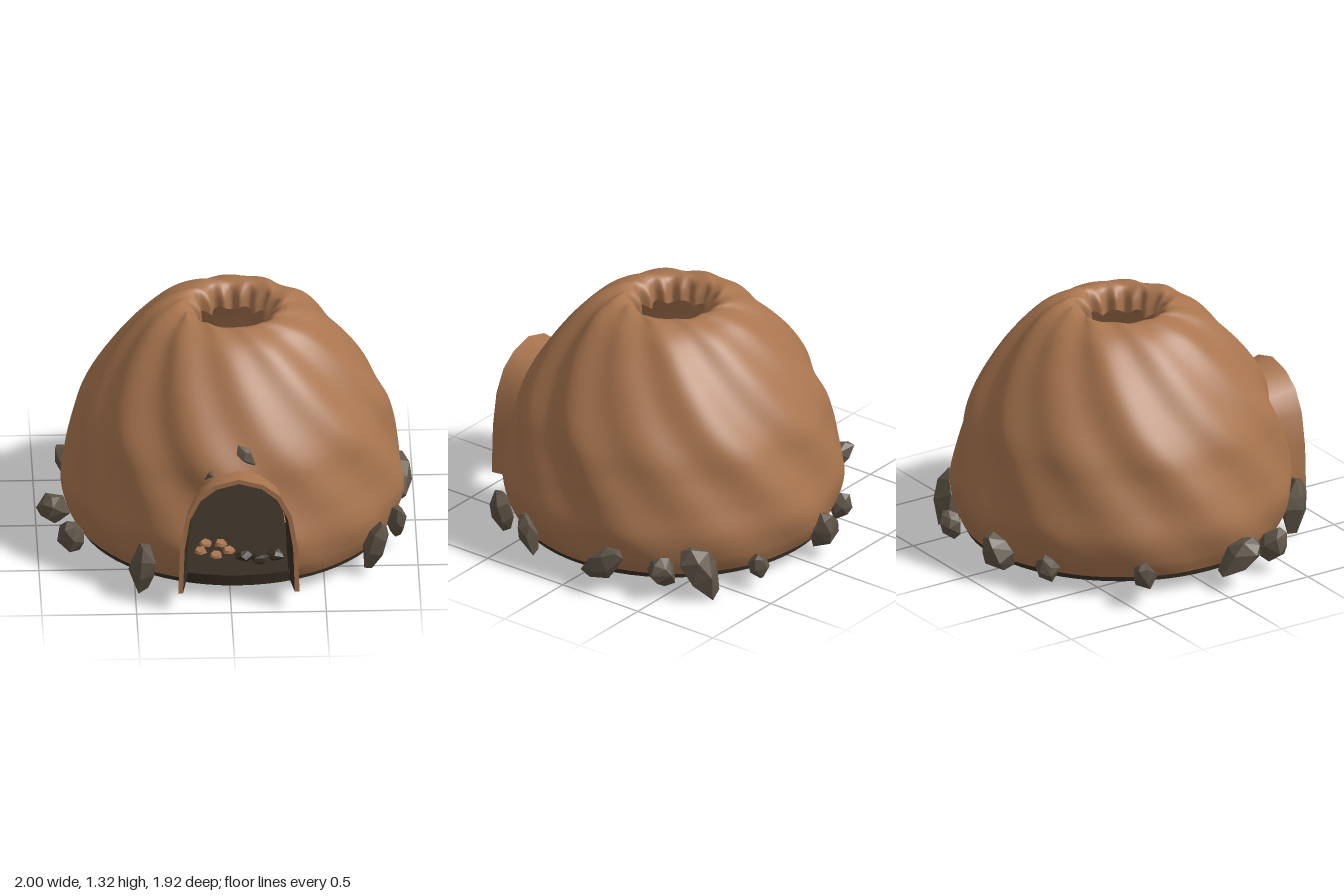
import * as THREE from 'three';
import { ConvexGeometry } from 'three/addons/geometries/ConvexGeometry.js';

const CX = 0.04, CZ = 0.01;

const mat = (name, color, extra = {}) => {
  const m = new THREE.MeshStandardMaterial({ color, ...extra });
  m.name = name;
  return m;
};

function seeded(seed) {
  let s = seed * 7919 + 17;
  return () => ((s = (s * 16807) % 2147483647) / 2147483647);
}

// Half outline of the doorway arch: [half width, height]
const ARCH = [[0.32, 0.11], [0.31, 0.38], [0.28, 0.56], [0.22, 0.68], [0.13, 0.75], [0, 0.785]];

// Full arch ring at depth z, drawn in by inset
function archRing(z, inset) {
  const half = ARCH.map(([w, y]) => [w * (1 - inset / 0.32), y - inset * Math.max(0, (y - 0.11) / 0.675)]);
  const left = half.map(([w, y]) => new THREE.Vector3(CX - w, y, z));
  const right = half.slice(0, -1).reverse().map(([w, y]) => new THREE.Vector3(CX + w, y, z));
  return [...left, ...right];
}

function insideArch(x, y, inset) {
  const ring = archRing(0, inset).slice(0, ARCH.length);
  for (let i = 0; i < ring.length - 1; i++) {
    const a = ring[i], b = ring[i + 1];
    if (y <= b.y) {
      const t = Math.max(0, (y - a.y) / (b.y - a.y));
      return Math.abs(x - CX) < CX - (a.x + (b.x - a.x) * t);
    }
  }
  return false;
}

// Surface joining equal-length rings of points; skip leaves out cells
function loft(rings, closed, skip = () => false) {
  const n = rings[0].length, pos = [], idx = [];
  rings.forEach(r => r.forEach(p => pos.push(p.x, p.y, p.z)));
  for (let i = 0; i < rings.length - 1; i++) {
    for (let j = 0; j < (closed ? n : n - 1); j++) {
      const k = (j + 1) % n;
      const mid = rings[i][j].clone().add(rings[i + 1][k]).multiplyScalar(0.5);
      if (skip(mid)) continue;
      const a = i * n + j, b = i * n + k, c = a + n, d = b + n;
      idx.push(a, b, c, b, d, c);
    }
  }
  const g = new THREE.BufferGeometry();
  g.setAttribute('position', new THREE.Float32BufferAttribute(pos, 3));
  g.setIndex(idx);
  g.computeVertexNormals();
  return g;
}

// Clay dome with folds that swirl down from the smoke hole
function domeGeometry() {
  const profile = new THREE.SplineCurve([
    [0.84, 0.11], [0.88, 0.2], [0.9, 0.33], [0.87, 0.48], [0.835, 0.62], [0.795, 0.76],
    [0.715, 0.91], [0.59, 1.09], [0.44, 1.25], [0.32, 1.315], [0.25, 1.315], [0.21, 1.26], [0.2, 1.19],
  ].map(p => new THREE.Vector2(...p))).getPoints(84);
  const SEG = 200;
  const rings = profile.map((p, i) => {
    const t = i / 84;
    const twist = 1.6 * Math.pow(Math.max(0, 1 - t / 0.82), 0.75);
    const amp = 0.004 + 0.015 * Math.sin(Math.PI * Math.min(1, t * 1.05));
    const teeth = 0.018 * THREE.MathUtils.smoothstep(t, 0.8, 0.95);
    return Array.from({ length: SEG }, (_, j) => {
      const a = j / SEG * Math.PI * 2, f = a - twist;
      const fold = Math.cos(f * 11) * 0.7 + Math.cos(f * 7 + 1) * 0.45;
      const r = p.x + amp * fold + teeth * Math.cos(a * 14);
      const y = p.y + (t > 0.7 ? 0.015 * Math.cos(f * 11) * (t - 0.7) / 0.3 : 0);
      return new THREE.Vector3(CX + Math.sin(a) * r, y, CZ + Math.cos(a) * r);
    });
  });
  return loft(rings, true, m => m.z > 0 && insideArch(m.x, m.y, 0.04));
}

// Faceted boulder: uneven rings of points wrapped in a hull
function rockGeometry(seed) {
  const rnd = seeded(seed), pts = [];
  [[-0.95, 0.45], [-0.15, 1], [0.45, 0.9], [0.98, 0.4]].forEach(([y, r], i) => {
    const n = i === 0 || i === 3 ? 3 : 5, off = rnd() * 6;
    for (let k = 0; k < n; k++) {
      const a = off + k / n * Math.PI * 2, q = r * (0.88 + 0.2 * rnd());
      pts.push(new THREE.Vector3(Math.cos(a) * q, y + (rnd() - 0.5) * 0.25, Math.sin(a) * q));
    }
  });
  return new ConvexGeometry(pts);
}

export function createModel() {
  const clay = mat('clay', 0xa9754f, { side: THREE.DoubleSide });
  const soil = mat('dark soil', 0x372e23, { side: THREE.DoubleSide });
  const stone = mat('stone', 0x5f5447, { flatShading: true });
  const root = new THREE.Group();
  root.name = 'clayHut';
  const add = (name, geo, m, parent = root) => {
    const mesh = new THREE.Mesh(geo, m);
    mesh.name = name;
    parent.add(mesh);
    return mesh;
  };

  add('dome', domeGeometry(), clay);

  // Floor slab
  add('floor', new THREE.CylinderGeometry(0.835, 0.825, 0.065, 64), soil).position.set(CX, 0.1125, CZ);

  // Flared entrance with a dark lining and a stone collar where it meets the dome
  const outer = [archRing(0.58, 0.034), archRing(0.8, 0.032), archRing(0.97, 0)];
  const inner = [archRing(0.97, 0.025), archRing(0.8, 0.052), archRing(0.58, 0.054)];
  const entrance = new THREE.Group();
  entrance.name = 'entrance';
  root.add(entrance);
  add('entranceShell', loft(outer, false), clay, entrance);
  add('entranceRim', loft([inner[0], outer[2]], false), clay, entrance);
  add('entranceLining', loft(inner, false), soil, entrance);
  add('entranceCollar', loft([archRing(0.74, 0.002), archRing(0.835, 0.023)], false), stone, entrance);

  // Boulders round the base: x, y, z, radius, half length, outward lean, sideways lean
  const rocks = [
    [-0.11, 0.16, -0.87, 0.09, 0.11, 0.4, 0.3],
    [0.39, 0.13, -0.83, 0.06, 0.08, 0.5, 0.2],
    [0.66, 0.16, -0.65, 0.1, 0.16, -0.1, 0.45],
    [0.78, 0.15, -0.49, 0.08, 0.09, 0.3, 0.4],
    [0.92, 0.165, -0.2, 0.08, 0.13, 0.2, -0.9],
    [0.89, 0.165, 0.31, 0.06, 0.11, 0.1, 0.35],
    [0.77, 0.165, 0.58, 0.06, 0.14, 0.25, -0.2],
    [-0.46, 0.16, 0.77, 0.078, 0.15, 0.1, -0.1],
    [-0.82, 0.15, 0.4, 0.08, 0.1, 0.4, -0.3],
    [-0.91, 0.175, 0.13, 0.085, 0.14, 0.45, -0.75],
    [-0.81, 0.16, -0.41, 0.07, 0.11, 0.8, 0.2],
    [-0.41, 0.14, -0.76, 0.065, 0.08, 0.4, 0.2],
  ];
  const boulders = new THREE.Group();
  boulders.name = 'boulders';
  root.add(boulders);
  rocks.forEach(([x, y, z, r, h, lean, side], i) => {
    const rock = add('boulder', rockGeometry(i + 3), stone, boulders);
    rock.position.set(x, y, z);
    rock.scale.set(r, h, r);
    rock.rotation.set(lean, Math.atan2(x, z), side, 'YXZ');
  });

  // Stones set into the wall above the entrance
  [[0.085, 0.81, 0.755, 0.045, 0.07, 0.75], [-0.1, 0.725, 0.795, 0.045, 0.045, -0.9]].forEach(([x, y, z, r, h, roll], i) => {
    const rock = add('lintelStone', rockGeometry(i + 31), stone);
    rock.position.set(x, y, z);
    rock.scale.set(r, h, r * 0.85);
    rock.rotation.set(-0.4, 0, roll);
  });

  // Dark lumps and clay chips lying on the floor
  [[0.08, 0.66], [0.16, 0.7], [0.24, 0.66]].forEach(([x, z], i) => {
    const lump = add('floorLump', rockGeometry(i + 41), soil);
    lump.position.set(x, 0.165, z);
    lump.scale.set(0.055, 0.032, 0.045);
  });
  [[-0.15, 0.58], [-0.07, 0.63], [-0.12, 0.5], [0, 0.58], [-0.04, 0.5]].forEach(([x, z], i) => {
    const chip = add('clayChip', new THREE.CylinderGeometry(0.028, 0.036, 0.02, 5), clay);
    chip.position.set(x, 0.155, z);
    chip.rotation.set(0.15, i, 0.1);
  });

  return root;
}
